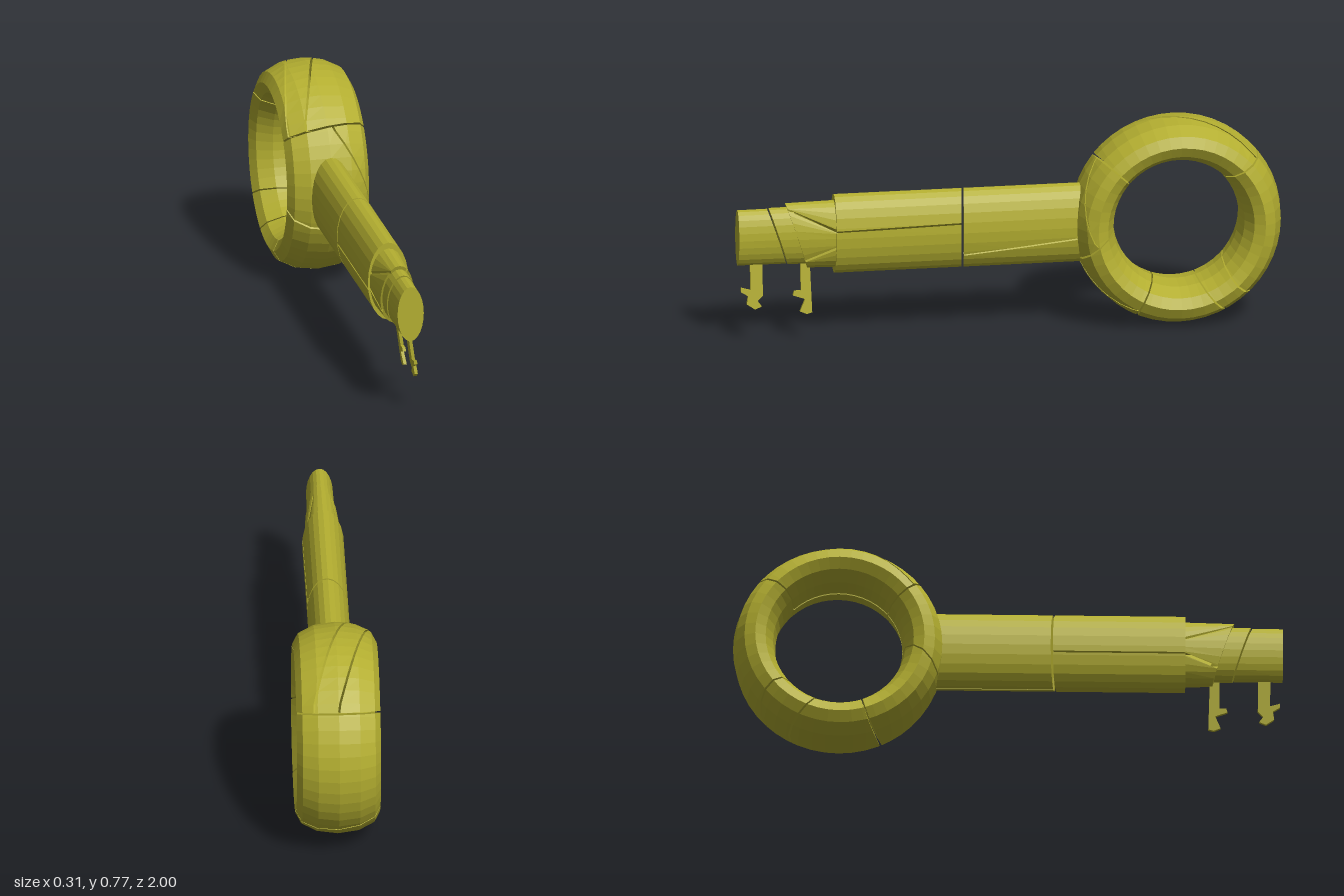
import * as THREE from 'three';

const rad = THREE.MathUtils.degToRad;
const { clamp, mapLinear } = THREE.MathUtils;
const cos = (d) => Math.cos(rad(d));
const sin = (d) => Math.sin(rad(d));
const material = new THREE.MeshStandardMaterial({ color: 0xb3ae30, flatShading: true });
const thinMaterial = material.clone();
thinMaterial.side = THREE.DoubleSide;

const CY = 0.385, RING_Z = -0.615;

// Ring surface: u runs round the ring, v round its oval section; f = 0 is the section centre
function ringPoint(u, v, f) {
  const r = 0.308 + 0.077 * cos(v) * f;
  return new THREE.Vector3(0.153 * sin(v) * f, CY + r * sin(u), RING_Z + r * cos(u));
}

// Oval rod along z whose half-width and half-height may taper from z0 to z1
function rodPoint(z0, z1, a0, a1, b0, b1) {
  return (z, v, f) => {
    const a = mapLinear(z, z0, z1, a0, a1), b = mapLinear(z, z0, z1, b0, b1);
    return new THREE.Vector3(-a * sin(v) * f, CY + b * cos(v) * f, z);
  };
}

// Solid fragment of a swept section, cut off by s0(v)..s1(v) along it and v0(s)..v1(s) round it
function fragment(name, point, s0, s1, v0, v1, sStep, vStep) {
  const turn = Array.from({ length: 36 }, (_, i) => i * 10);
  const starts = turn.map(s0), ends = turn.map(s1);
  const lo = Math.min(...starts), hi = Math.max(...ends);
  const mean = (list) => list.reduce((p, c) => p + c, 0) / list.length;
  const m0 = mean(starts), m1 = mean(ends);

  const sList = [lo];
  for (let s = Math.floor(lo / sStep + 1) * sStep; s < hi - 1e-6; s += sStep) sList.push(s);
  sList.push(hi);
  const k0 = Math.floor(Math.min(...sList.map(v0)) / vStep);
  const k1 = Math.ceil(Math.max(...sList.map(v1)) / vStep);

  const rows = sList.map((s) => {
    const row = [point(clamp(s, m0, m1), 0, 0)];
    for (let k = k0; k <= k1; k++) {
      const v = clamp(k * vStep, v0(s), v1(s));
      row.push(point(clamp(s, s0(v), s1(v)), v, 1));
    }
    return row;
  });

  const out = [];
  const tri = (a, b, c) => {
    const n = b.clone().sub(a).cross(c.clone().sub(a));
    if (n.length() > 1e-8) for (const p of [a, b, c]) out.push(p.x, p.y, p.z);
  };
  const n = rows[0].length, first = rows[0], last = rows[rows.length - 1];
  for (let j = 0; j + 1 < rows.length; j++) {
    for (let k = 0; k < n; k++) {
      const q = (k + 1) % n, A = rows[j], B = rows[j + 1];
      tri(A[k], A[q], B[q]);
      tri(A[k], B[q], B[k]);
    }
  }
  for (let k = 1; k + 1 < n; k++) {
    tri(first[0], first[k + 1], first[k]);
    tri(last[0], last[k], last[k + 1]);
  }
  const geo = new THREE.BufferGeometry();
  geo.setAttribute('position', new THREE.Float32BufferAttribute(out, 3));
  geo.computeVertexNormals();
  const mesh = new THREE.Mesh(geo, material);
  mesh.name = name;
  return mesh;
}

// Cuts one length into wedges along the given cracks, or leaves it whole
function splitLength(group, name, point, s0, s1, cracks, gap, sStep, vStep) {
  if (!cracks.length) {
    group.add(fragment(name, point, s0, s1, () => 0, () => 360, sStep, vStep));
    return;
  }
  cracks.forEach((c, i) => {
    const wrap = i + 1 === cracks.length;
    const next = wrap ? (s) => cracks[0](s) + 360 : cracks[i + 1];
    group.add(fragment(name, point, s0, s1, (s) => c(s) + gap, (s) => next(s) - gap, sStep, vStep));
  });
}

// Straight slanting crack: angle va at sa to vb at sb
const slant = (sa, va, sb, vb) => (s) =>
  mapLinear(clamp(s, Math.min(sa, sb), Math.max(sa, sb)), sa, sb, va, vb);
const inner = () => 180;

function createRing() {
  const ring = new THREE.Group();
  ring.name = 'ringHandle';
  // Cracks across the ring, in order round it
  const cuts = [
    (v) => -137 + 5 * sin(v),
    (v) => -113 - 5 * cos(v),
    (v) => -68 + 5 * sin(v),
    (v) => -11 - 8 * cos(v),
    (v) => 40 + 3 * sin(v),
    (v) => 138 + 3 * cos(v),
    (v) => 223 + 5 * sin(v),
  ];
  // Cracks running along each piece
  const lengthwise = [
    [], [],
    [slant(-20, 8, -65, 60), inner],
    [slant(39, 8, -14, 88), inner],
    [slant(48, -65, 138, 0), slant(42, -31, 136, 36), inner],
    [],
  ];
  lengthwise.forEach((cracks, i) => splitLength(ring, 'ringFragment', ringPoint,
    (v) => cuts[i](v) + 0.6, (v) => cuts[i + 1](v) - 0.6, cracks, 1.6, 7.5, 30));
  return ring;
}

function createShaft() {
  const shaft = new THREE.Group();
  shaft.name = 'shaft';
  const body = rodPoint(-0.3, 0.65, 0.076, 0.076, 0.149, 0.149);
  const joint = (v) => 0.17 - 0.012 * sin(v);
  splitLength(shaft, 'rearShaft', body, () => -0.29, (v) => joint(v) - 0.004,
    [slant(-0.26, -105, 0.16, -126), () => 175], 1.2, 0.5, 15);
  splitLength(shaft, 'frontShaft', body, (v) => joint(v) + 0.004, () => 0.645,
    [slant(0.18, -76, 0.645, -80), () => 100], 1.2, 0.5, 15);

  // Broken collar between the shaft and the tip
  const collarEnd = (v) => 0.79 + 0.04 * cos(v);
  splitLength(shaft, 'collarFragment', rodPoint(0.645, 0.83, 0.069, 0.058, 0.126, 0.123),
    () => 0.63, (v) => collarEnd(v) - 0.006,
    [slant(0.63, -80, 0.82, -30), slant(0.63, 75, 0.82, 35), slant(0.63, 100, 0.82, 125),
      slant(0.63, 255, 0.82, 225)], 2.5, 0.5, 15);
  splitLength(shaft, 'neckFragment', rodPoint(0.75, 0.9, 0.054, 0.053, 0.109, 0.108),
    (v) => collarEnd(v) - 0.03, (v) => 0.85 + 0.035 * cos(v), [], 0, 0.5, 15);
  splitLength(shaft, 'tip', rodPoint(0.8, 1, 0.051, 0.049, 0.106, 0.105),
    (v) => 0.856 + 0.035 * cos(v), () => 1, [], 0, 0.5, 15);
  return shaft;
}

// Thin, jagged, slightly leaning tooth from an outline of (z, y) points
function createTooth(name, outline) {
  const geo = new THREE.ExtrudeGeometry(
    new THREE.Shape(outline.map(([z, y]) => new THREE.Vector2(z, y))),
    { depth: 0.012, bevelEnabled: false });
  geo.rotateY(-Math.PI / 2);
  const p = geo.attributes.position;
  for (let i = 0; i < p.count; i++) p.setX(i, p.getX(i) + 0.02 + (0.24 - p.getY(i)) * 0.14);
  geo.computeVertexNormals();
  const mesh = new THREE.Mesh(geo, thinMaterial);
  mesh.name = name;
  return mesh;
}

export function createModel() {
  const model = new THREE.Group();
  model.name = 'brokenKey';
  model.add(createRing(), createShaft());
  model.add(createTooth('frontTooth', [[0.955, 0.3], [0.91, 0.3], [0.91, 0.17], [0.93, 0.15],
    [0.915, 0.13], [0.94, 0.12], [0.97, 0.14], [0.965, 0.17], [0.99, 0.185], [0.99, 0.2], [0.955, 0.19]]));
  model.add(createTooth('rearTooth', [[0.77, 0.28], [0.735, 0.28], [0.73, 0.1], [0.75, 0.095],
    [0.775, 0.105], [0.755, 0.15], [0.8, 0.165], [0.795, 0.18], [0.77, 0.18]]));
  return model;
}
